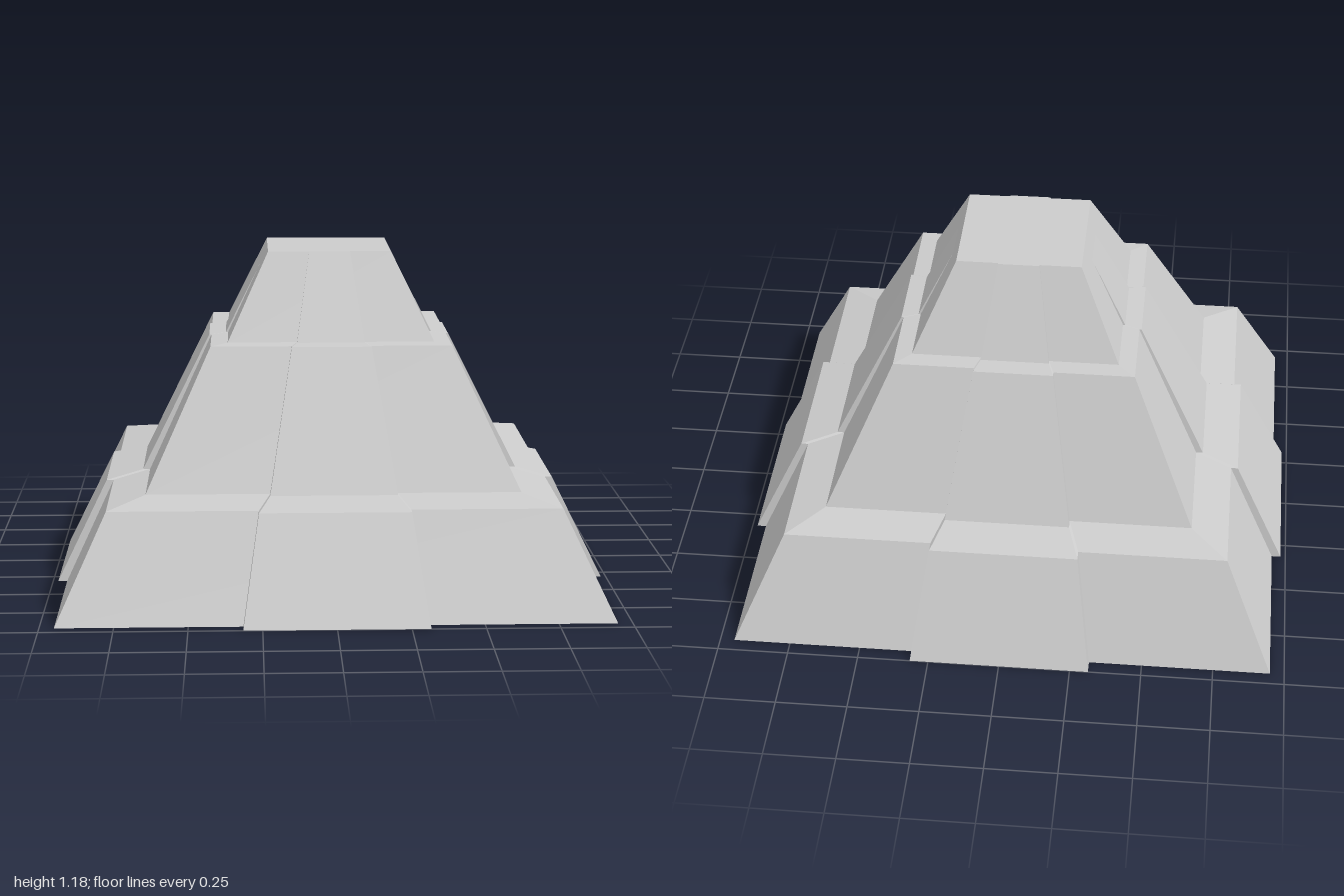
import * as THREE from 'three';

const material = new THREE.MeshStandardMaterial({ color: 0xcccccc, flatShading: true });

// Lofts four-cornered rings of [x, y, z], bottom to top; skipEdge leaves one side open
function loft(name, rings, skipEdge = -1) {
  const pos = [];
  const quad = (a, b, c, d) => [a, b, c, a, c, d].forEach((p) => pos.push(...p));
  for (let k = 0; k < rings.length - 1; k++) {
    for (let i = 0; i < 4; i++) {
      if (i === skipEdge) continue;
      const j = (i + 1) % 4;
      quad(rings[k][i], rings[k][j], rings[k + 1][j], rings[k + 1][i]);
    }
  }
  const [a, b, c, d] = rings[0];
  quad(d, c, b, a);
  quad(...rings[rings.length - 1]);
  const geometry = new THREE.BufferGeometry();
  geometry.setAttribute('position', new THREE.Float32BufferAttribute(pos, 3));
  geometry.computeVertexNormals();
  const mesh = new THREE.Mesh(geometry, material);
  mesh.name = name;
  return mesh;
}

// Rectangle spanning x = -w..w and z = inner..outer at height y
const ring = (y, w, inner, outer) =>
  [[w, y, outer], [w, y, inner], [-w, y, inner], [-w, y, outer]];

export function createModel() {
  const model = new THREE.Group();
  model.name = 'steppedPyramid';

  // Square three-tier body: [height, half width]
  const body = [[0, 0.95], [0.36, 0.78], [0.39, 0.65], [0.87, 0.425], [0.875, 0.365], [1.18, 0.22]];
  model.add(loft('body', body.map(([y, h]) => ring(y, h, -h, h))));

  // Raised tapering panels: [height, half width, body surface, panel surface]
  const frontPanel = [
    [0, 0.315, 0.95, 1.0], [0.36, 0.26, 0.78, 0.82], [0.39, 0.22, 0.65, 0.685],
    [0.87, 0.14, 0.425, 0.445], [0.875, 0.12, 0.365, 0.38], [1.18, 0.073, 0.22, 0.226],
  ];
  // The side panels are shallower and die into the body just below the top
  const sidePanel = [
    [0, 0.315, 0.95, 0.982], [0.36, 0.258, 0.78, 0.805], [0.39, 0.215, 0.65, 0.675],
    [0.87, 0.137, 0.425, 0.433], [0.875, 0.12, 0.365, 0.373], [1.12, 0.082, 0.2485, 0.2485],
  ];
  ['frontPanel', 'leftPanel', 'backPanel', 'rightPanel'].forEach((name, i) => {
    const profile = i % 2 ? sidePanel : frontPanel;
    const panel = loft(name, profile.map((p) => ring(...p)), 1);
    panel.rotation.y = (i * Math.PI) / 2;
    model.add(panel);
  });

  return model;
}
